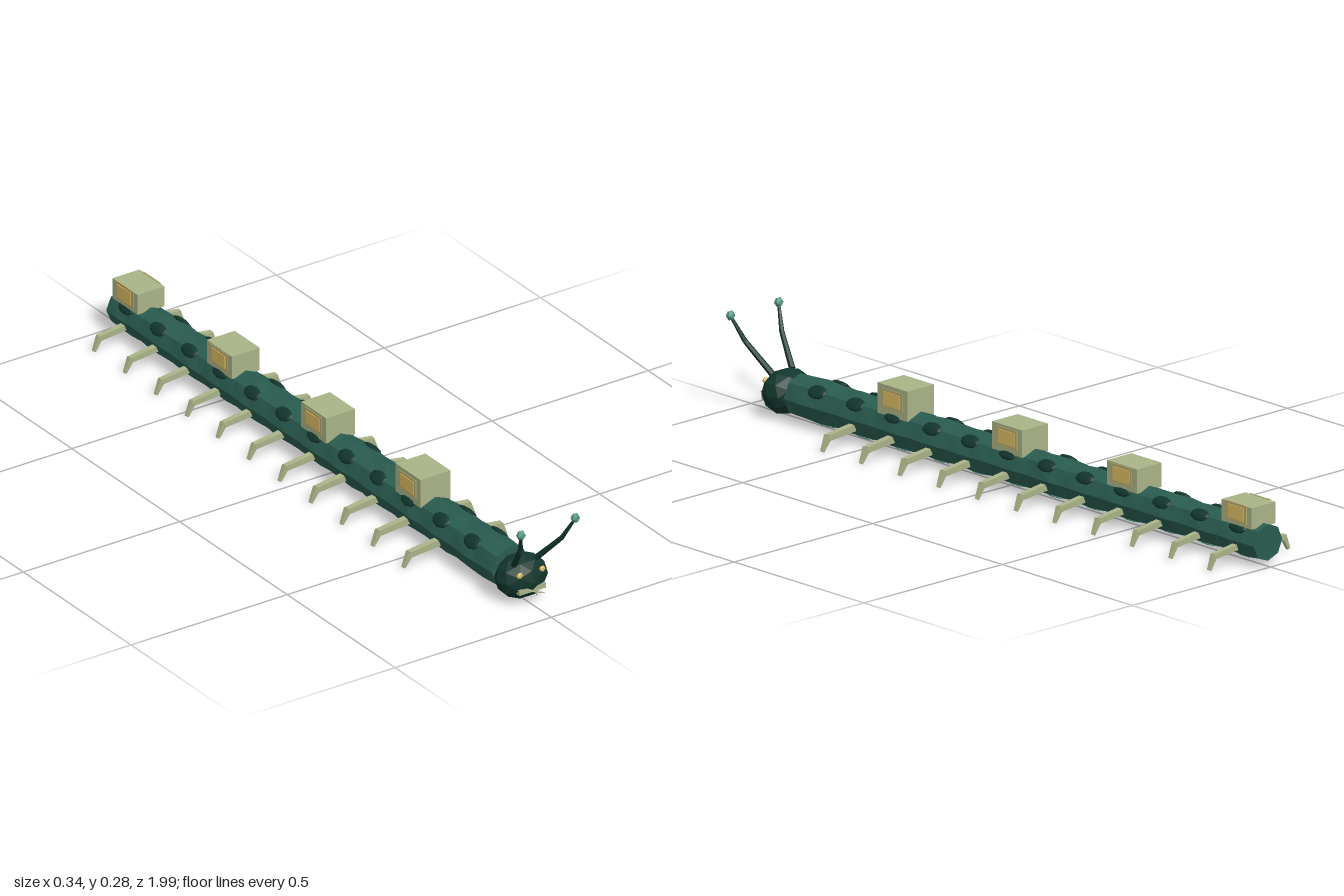
import * as THREE from 'three';

const mat = (name, color) => {
  const m = new THREE.MeshStandardMaterial({ color });
  m.name = name;
  return m;
};

// Split the faces so that every facet is flat
const flat = (geometry) => {
  const g = geometry.index ? geometry.toNonIndexed() : geometry;
  g.computeVertexNormals();
  return g;
};

export function createModel() {
  const shell = mat('shell green', 0x2a5c50);
  const dark = mat('dark green', 0x12362d);
  const teal = mat('pale teal', 0x5a9a8a);
  const tan = mat('pale olive', 0xaab488);
  const frame = mat('window frame', 0xb8aa6c);
  const gold = mat('gold', 0xdcbc64);

  const model = new THREE.Group();
  model.name = 'caterpillar';

  const add = (name, geometry, material, x = 0, y = 0, z = 0, parent = model) => {
    const mesh = new THREE.Mesh(flat(geometry), material);
    mesh.name = name;
    mesh.position.set(x, y, z);
    parent.add(mesh);
    return mesh;
  };

  // Tapered bar between two points
  const bar = (name, a, b, r0, r1, sides, material, parent = model) => {
    const p = new THREE.Vector3(...a), q = new THREE.Vector3(...b);
    const d = q.clone().sub(p);
    const g = new THREE.CylinderGeometry(r1, r0, d.length(), sides);
    if (sides === 4) g.rotateY(Math.PI / 4);
    const mesh = add(name, g, material, ...p.add(q).multiplyScalar(0.5).toArray(), parent);
    mesh.quaternion.setFromUnitVectors(new THREE.Vector3(0, 1, 0), d.normalize());
    return mesh;
  };

  const blob = (name, size, material, pos, detail = 1, parent = model) => {
    const g = new THREE.IcosahedronGeometry(1, detail).scale(...size);
    return add(name, g, material, ...pos, parent);
  };

  const COUNT = 12, STEP = 0.1467;
  for (let i = 0; i < COUNT; i++) {
    const t = i / (COUNT - 1);
    const z = 0.698 - i * STEP;
    const s = 1 - 0.14 * t;
    const rx = 0.062 * s, ry = 0.06 * s, cy = 0.07 - 0.003 * t;
    const segment = new THREE.Group();
    segment.name = 'segment' + (i + 1);
    model.add(segment);

    // Eight-sided body barrel, slightly narrower at its ends
    const front = i === 0 ? 0.112 : 0.0745;
    const length = front + 0.0745;
    const g = new THREE.CylinderGeometry(1, 1, length, 8, 3).rotateX(Math.PI / 2);
    const p = g.attributes.position;
    for (let k = 0; k < p.count; k++) {
      const end = Math.abs(p.getZ(k)) > length * 0.4;
      const wobble = 1 + 0.025 * Math.sin(k * 2.4 + i * 1.7) * (end ? 0 : 1);
      const f = (end ? 0.97 : 1.02) * wobble;
      p.setX(k, p.getX(k) * rx * f);
      p.setY(k, p.getY(k) * ry * f);
    }
    // Close the seam
    for (let r = 0; r < 4; r++) p.setXYZ(r * 9 + 8, p.getX(r * 9), p.getY(r * 9), p.getZ(r * 9));
    add('bodyBarrel', g, shell, 0, cy, z + (front - 0.0745) / 2, segment);

    // Pale belly plate
    blob('bellyPlate', [0.022 * s, 0.006, 0.045], teal, [0, cy - ry + 0.004, z], 1, segment);

    for (const side of [1, -1]) {
      // Dark patch on the upper flank
      const spot = blob('sidePatch', [0.009, 0.021 * s, 0.034], dark,
        [side * rx * 0.71, cy + ry * 0.67, z], 1, segment);
      spot.rotation.z = side * 0.8;

      // Jointed leg
      if (i > 0) {
        const knee = [side * 0.147 * s, 0.039, z];
        bar('upperLeg', [side * 0.04, 0.05, z], knee, 0.014 * s, 0.012 * s, 4, tan, segment);
        bar('lowerLeg', [side * 0.144 * s, 0.044, z], [side * 0.166 * s, 0.004, z],
          0.012 * s, 0.006, 4, tan, segment);
      }
    }

    // Cabin with a window on either side, on every third segment
    if (i % 3 === 2) {
      const top = 0.197 - 0.03 * t, bottom = 0.108;
      const w = 0.098 * (1 - 0.12 * t), h = top - bottom;
      const cabin = new THREE.Group();
      cabin.name = 'cabin';
      cabin.position.set(0, (top + bottom) / 2, z);
      segment.add(cabin);
      add('cabinBox', new THREE.BoxGeometry(w, h, 0.116), tan, 0, 0, 0, cabin);
      for (const side of [1, -1]) {
        add('windowFrame', new THREE.BoxGeometry(0.004, 0.052, 0.078), frame, side * w / 2, 0.005, 0, cabin);
        add('windowPane', new THREE.BoxGeometry(0.004, 0.038, 0.062), gold, side * (w / 2 + 0.002), 0.005, 0, cabin);
      }
    }
  }

  // Head
  blob('head', [0.076, 0.063, 0.06], dark, [0, 0.068, 0.86]);
  add('mouthPlate', new THREE.BoxGeometry(0.084, 0.015, 0.03), tan, 0, 0.048, 0.899);

  for (const side of [1, -1]) {
    blob('eye', [0.01, 0.01, 0.007], gold, [side * 0.036, 0.095, 0.906], 0);
    bar('mandible', [side * 0.014, 0.046, 0.908], [side * -0.012, 0.05, 0.95], 0.004, 0.002, 4, tan);

    // Bent antenna with a faceted tip
    const bend = [side * 0.066, 0.198, 0.952];
    bar('antennaBase', [side * 0.036, 0.118, 0.88], bend, 0.009, 0.007, 6, dark);
    bar('antennaEnd', bend, [side * 0.086, 0.262, 0.985], 0.007, 0.004, 6, dark);
    blob('antennaTip', [0.013, 0.015, 0.013], teal, [side * 0.087, 0.266, 0.986], 0);
  }

  return model;
}
